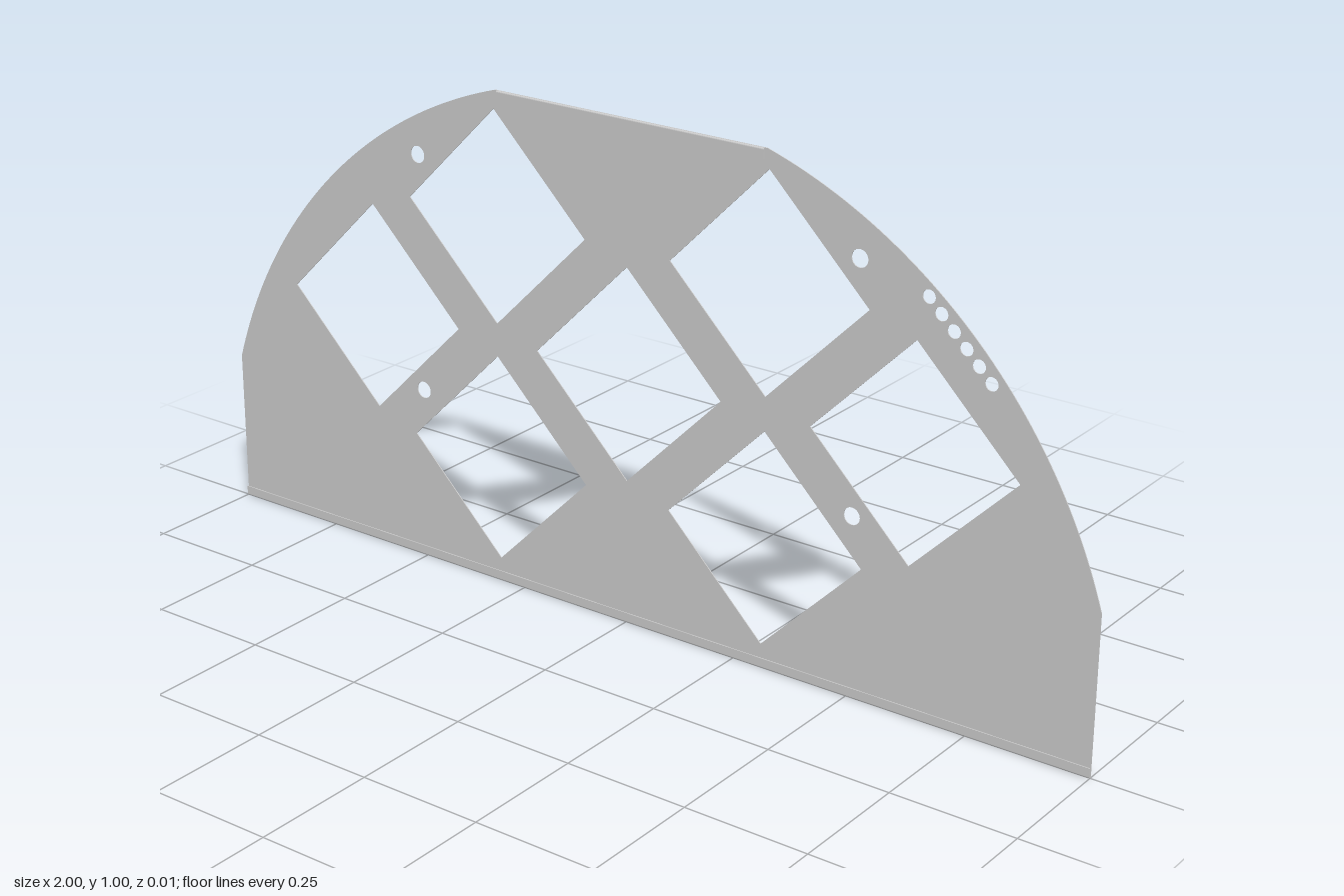
import * as THREE from 'three';

const T = 0.002;      // sheet thickness
const BACK = -0.003;  // back face of the sheet
const TOP = 1.003;

export function createModel() {
  const group = new THREE.Group();
  const mat = new THREE.MeshStandardMaterial({ color: 0xcccccc, side: THREE.DoubleSide });
  const add = (geo, name) => {
    const mesh = new THREE.Mesh(geo, mat);
    mesh.name = name;
    group.add(mesh);
    return mesh;
  };

  // Plate outline: flat base, short sides, two arcs and a flat top
  const r = Math.hypot(0.305, TOP);
  const a0 = Math.asin(0.305 / r), a1 = Math.PI / 2 - a0;
  const sideY = Math.sqrt(r * r - 1);
  const start = Math.atan2(sideY, 1);
  const outline = new THREE.Shape();
  outline.moveTo(-1, 0);
  outline.lineTo(1, 0);
  outline.lineTo(1, sideY);
  outline.absarc(0, 0, r, start, a1, false);
  outline.absarc(0, 0, r, Math.PI - a1, Math.PI - start, false);
  outline.closePath();

  // Diamond windows
  const h = 0.213;
  const diamond = (x, y) => {
    outline.holes.push(new THREE.Path([[0, -h], [-h, 0], [0, h], [h, 0]]
      .map(([dx, dy]) => new THREE.Vector2(x + dx, y + dy))));
  };
  diamond(0, 0.507);
  // Round mounting holes
  const round = (x, y, radius) => {
    const hole = new THREE.Path();
    hole.absarc(x, y, radius, 0, Math.PI * 2, true);
    outline.holes.push(hole);
  };
  for (const s of [-1, 1]) {
    diamond(s * 0.31, 0.753);
    diamond(s * 0.62, 0.507);
    diamond(s * 0.31, 0.26);
    round(s * 0.5, 0.842, 0.017);
    round(s * 0.5, 0.358, 0.017);
  }
  // Row of small holes beside the left arc
  for (let i = 0; i < 6; i++) round(0.64 + i * 0.0257, 0.803 - i * 0.0257, 0.013);

  const plate = new THREE.ExtrudeGeometry(outline, { depth: T, bevelEnabled: false, curveSegments: 24 });
  plate.translate(0, 0, BACK);
  add(plate, 'plate');

  // Folded hem: U-shaped section swept along x, lip on the front side
  const hem = (width, name) => {
    const R = 0.003, lip = 0.02;
    const s = new THREE.Shape();
    s.moveTo(-R, lip);
    s.lineTo(-R, R);
    s.absarc(0, R, R, Math.PI, Math.PI * 2, false);
    s.lineTo(R, lip);
    s.lineTo(R - T, lip);
    s.lineTo(R - T, R);
    s.absarc(0, R, R - T, 0, Math.PI, true);
    s.lineTo(T - R, lip);
    s.closePath();
    const geo = new THREE.ExtrudeGeometry(s, { depth: width, bevelEnabled: false, curveSegments: 6 });
    geo.translate(0, 0, -width / 2);
    geo.rotateY(-Math.PI / 2);
    return add(geo, name);
  };
  hem(2, 'bottomHem');
  const topHem = hem(0.6, 'topHem');
  topHem.rotation.x = Math.PI;
  topHem.position.y = TOP;
  return group;
}
